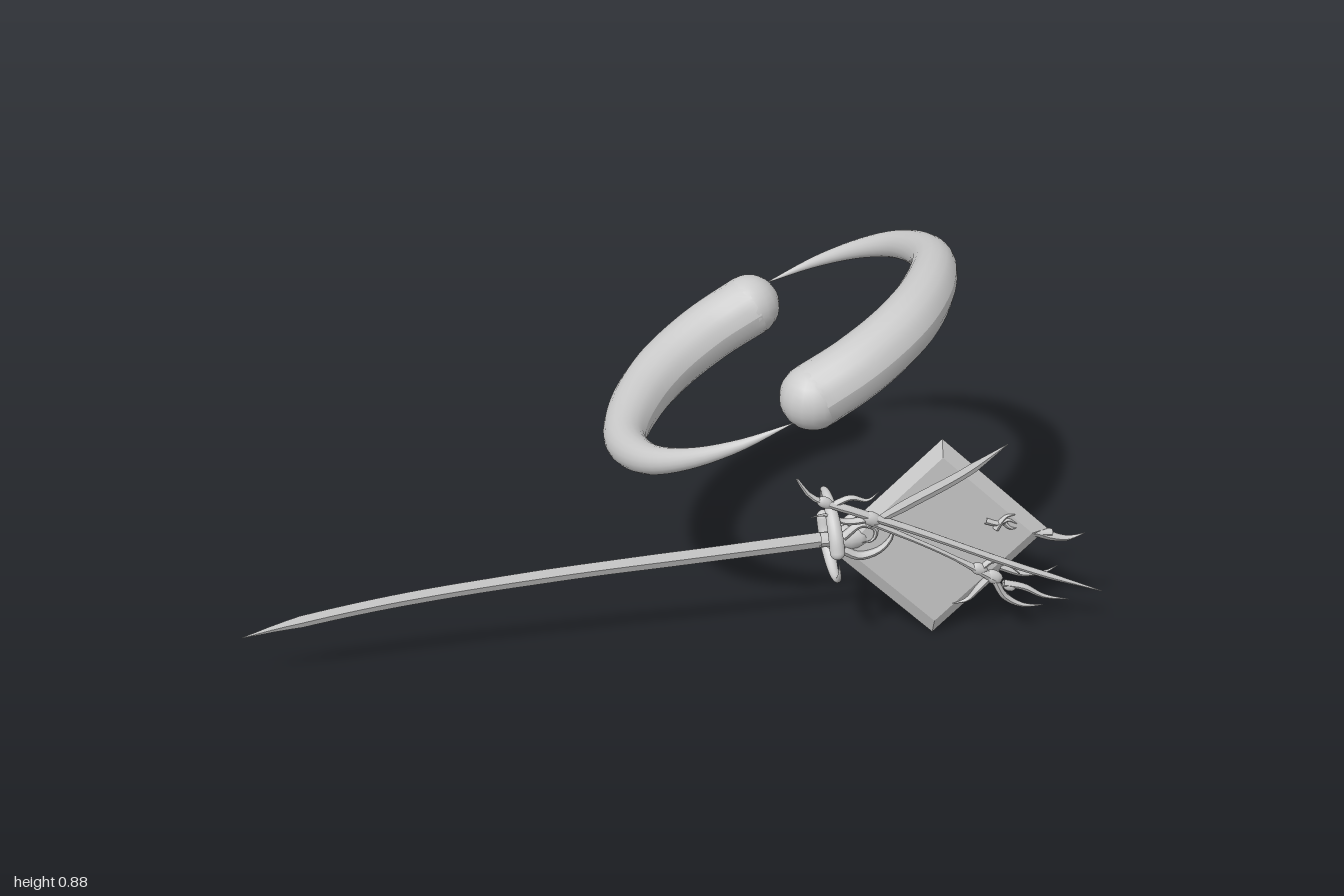
import * as THREE from 'three';

const grey = new THREE.MeshStandardMaterial({ color: 0xcccccc, side: THREE.DoubleSide });
const flat = new THREE.MeshStandardMaterial({ color: 0xcccccc, side: THREE.DoubleSide, flatShading: true });
const V = (x, y, z) => new THREE.Vector3(x, y, z);

function add(parent, name, geometry, material = grey) {
  const mesh = new THREE.Mesh(geometry, material);
  mesh.name = name;
  parent.add(mesh);
  return mesh;
}

// Tube whose radius follows a list spread evenly along its length; zScale flattens it
function taper(points, radii, { segments = 24, sides = 8, zScale = 1 } = {}) {
  const curve = new THREE.CatmullRomCurve3(points, false, 'centripetal');
  const geo = new THREE.TubeGeometry(curve, segments, 1, sides);
  const pos = geo.attributes.position;
  const p = V(0, 0, 0);
  for (let i = 0; i <= segments; i++) {
    const c = curve.getPointAt(i / segments);
    const f = (i / segments) * (radii.length - 1);
    const k = Math.min(Math.floor(f), radii.length - 2);
    const r = THREE.MathUtils.lerp(radii[k], radii[k + 1], f - k);
    for (let j = 0; j <= sides; j++) {
      const n = i * (sides + 1) + j;
      p.fromBufferAttribute(pos, n).sub(c).multiplyScalar(r);
      pos.setXYZ(n, c.x + p.x, c.y + p.y, c.z + p.z * zScale);
    }
  }
  geo.computeVertexNormals();
  return geo;
}

// Two comma shapes chasing each other round a ring; place() maps ring coordinates to space
function commaRing(name, scale, place) {
  const ring = new THREE.Group();
  ring.name = name;
  const path = [[0.01, 0.35], [0.115, 0.315], [0.235, 0.225], [0.325, 0.085], [0.37, -0.08],
    [0.338, -0.25], [0.265, -0.35], [0.165, -0.412], [0.05, -0.436]];
  const radii = [0.075, 0.073, 0.069, 0.061, 0.05, 0.039, 0.027, 0.015, 0.001].map(r => r * scale);
  for (const s of [1, -1]) {
    const pts = path.map(([a, b]) => place(a * s, b * s));
    add(ring, 'commaTail', taper(pts, radii, { segments: 40, sides: 18 }));
    add(ring, 'commaHead', new THREE.SphereGeometry(radii[0], 18, 14)).position.copy(pts[0]);
  }
  return ring;
}

export function createModel() {
  const model = new THREE.Group();

  // Large tilted ring and the small upright one serving as sword guard
  model.add(commaRing('floatingRing', 1, (a, b) => V(0.275 + a, 0.65 + 0.49 * a + 0.18 * b, b)));
  model.add(commaRing('swordGuard', 0.235,
    (a, b) => V(0.355 - 0.02 * a, 0.295 + 0.255 * a, 0.255 + 0.235 * b)));

  // Sword: long bowed blade, collar and hilt
  const sword = new THREE.Group();
  sword.name = 'sword';
  model.add(sword);
  const bow = [[0.38, 0.282], [0.1, 0.265], [-0.3, 0.24], [-0.65, 0.205], [-0.9, 0.163], [-1, 0.139]];
  add(sword, 'blade', taper(bow.map(([x, y]) => V(x, y, 0.25)),
    [0.021, 0.021, 0.02, 0.02, 0.019, 0.019, 0.018, 0.018, 0.017, 0.016, 0.001],
    { segments: 40, sides: 4, zScale: 0.4 }), flat);
  add(sword, 'hilt', taper([V(0.33, 0.283, 0.255), V(0.6, 0.28, 0.255), V(0.88, 0.253, 0.255)],
    [0.018, 0.014, 0.013, 0.014, 0.01]));
  const collar = add(sword, 'collar', new THREE.SphereGeometry(0.03, 12, 8));
  collar.position.set(0.4, 0.285, 0.255);
  collar.scale.set(1.6, 1, 0.9);

  // Square plate with knife edges, standing on one corner
  const plate = add(model, 'plate', new THREE.LatheGeometry([[0, -0.016], [0.222, -0.016],
    [0.263, 0], [0.222, 0.016], [0, 0.016]].map(([r, y]) => new THREE.Vector2(r, y)), 4), flat);
  plate.rotation.x = Math.PI / 2;
  plate.position.set(0.607, 0.265, 0.255);

  // Curved claws in a vertical plane
  const claw = (name, z, r, ...pts) => add(model, name,
    taper(pts.map(([x, y]) => V(x, y, z)), [r, r * 0.9, r * 0.55, 0.0008], { segments: 14, sides: 6 }));

  // Curls round the collar and the crossed ornament, on both faces of the plate
  for (const s of [1, -1]) {
    const z = 0.255 + s * 0.022;
    claw('collarCurl', z, 0.011, [0.38, 0.265], [0.42, 0.245], [0.47, 0.26], [0.495, 0.3], [0.47, 0.325]);
    claw('collarCurl', z, 0.01, [0.38, 0.3], [0.42, 0.33], [0.455, 0.315], [0.45, 0.285], [0.425, 0.28]);
    const o = 0.255 + s * 0.017;
    claw('crossOrnament', o, 0.008, [0.715, 0.31], [0.745, 0.3], [0.77, 0.307], [0.79, 0.295]);
    claw('crossOrnament', o, 0.008, [0.74, 0.285], [0.752, 0.305], [0.765, 0.318], [0.785, 0.32]);
    claw('crossOrnament', o, 0.006, [0.76, 0.3], [0.775, 0.285], [0.79, 0.283]);
  }
  claw('hiltClaw', 0.255, 0.012, [0.84, 0.26], [0.88, 0.243], [0.92, 0.234], [0.96, 0.244]);
  claw('hiltClaw', 0.255, 0.009, [0.76, 0.17], [0.82, 0.145], [0.87, 0.145], [0.9, 0.16]);

  // Thin staff in front of the plate, with knots
  const staffZ = 0.296;
  add(model, 'staff', taper([[0.265, 0.475], [0.3, 0.425], [0.4, 0.378], [0.55, 0.31], [0.8, 0.19],
    [1, 0.105]].map(([x, y]) => V(x, y, staffZ)), [0.003, 0.011, 0.01, 0.009, 0.009, 0.008, 0.001],
    { segments: 36 }));
  add(model, 'sideShaft', taper([V(0.44, 0.345, staffZ), V(0.6, 0.255, staffZ), V(0.74, 0.165, staffZ)],
    [0.009, 0.006, 0.006, 0.013]));
  for (const [x, y, r] of [[0.33, 0.408, 0.014], [0.44, 0.355, 0.017], [0.7, 0.195, 0.015],
    [0.735, 0.17, 0.017], [0.775, 0.14, 0.012]]) {
    const knot = add(model, 'staffKnot', new THREE.SphereGeometry(r, 10, 8));
    knot.position.set(x, y, staffZ);
    knot.scale.set(1.5, 1, 0.75);
    knot.rotation.z = -0.5;
  }

  // Claws springing from both ends of the staff
  claw('upperClaw', staffZ, 0.009, [0.44, 0.355], [0.38, 0.352], [0.33, 0.375], [0.3, 0.37]);
  claw('upperClaw', staffZ, 0.008, [0.35, 0.4], [0.39, 0.415], [0.43, 0.405], [0.455, 0.425]);
  claw('lowerClaw', staffZ, 0.01, [0.73, 0.175], [0.7, 0.14], [0.675, 0.112], [0.64, 0.105]);
  claw('lowerClaw', staffZ, 0.01, [0.74, 0.16], [0.765, 0.115], [0.81, 0.085], [0.86, 0.08]);
  claw('lowerClaw', staffZ, 0.009, [0.76, 0.15], [0.81, 0.135], [0.86, 0.105], [0.92, 0.09]);
  claw('lowerClaw', staffZ, 0.008, [0.7, 0.19], [0.73, 0.215], [0.77, 0.2], [0.8, 0.17]);

  // Narrow blade rising across the plate
  add(model, 'shortBlade', taper([V(0.43, 0.335, staffZ), V(0.53, 0.39, staffZ), V(0.65, 0.455, staffZ),
    V(0.75, 0.525, staffZ)], [0.008, 0.015, 0.015, 0.013, 0.001], { sides: 4, zScale: 0.4 }), flat);

  return model;
}
